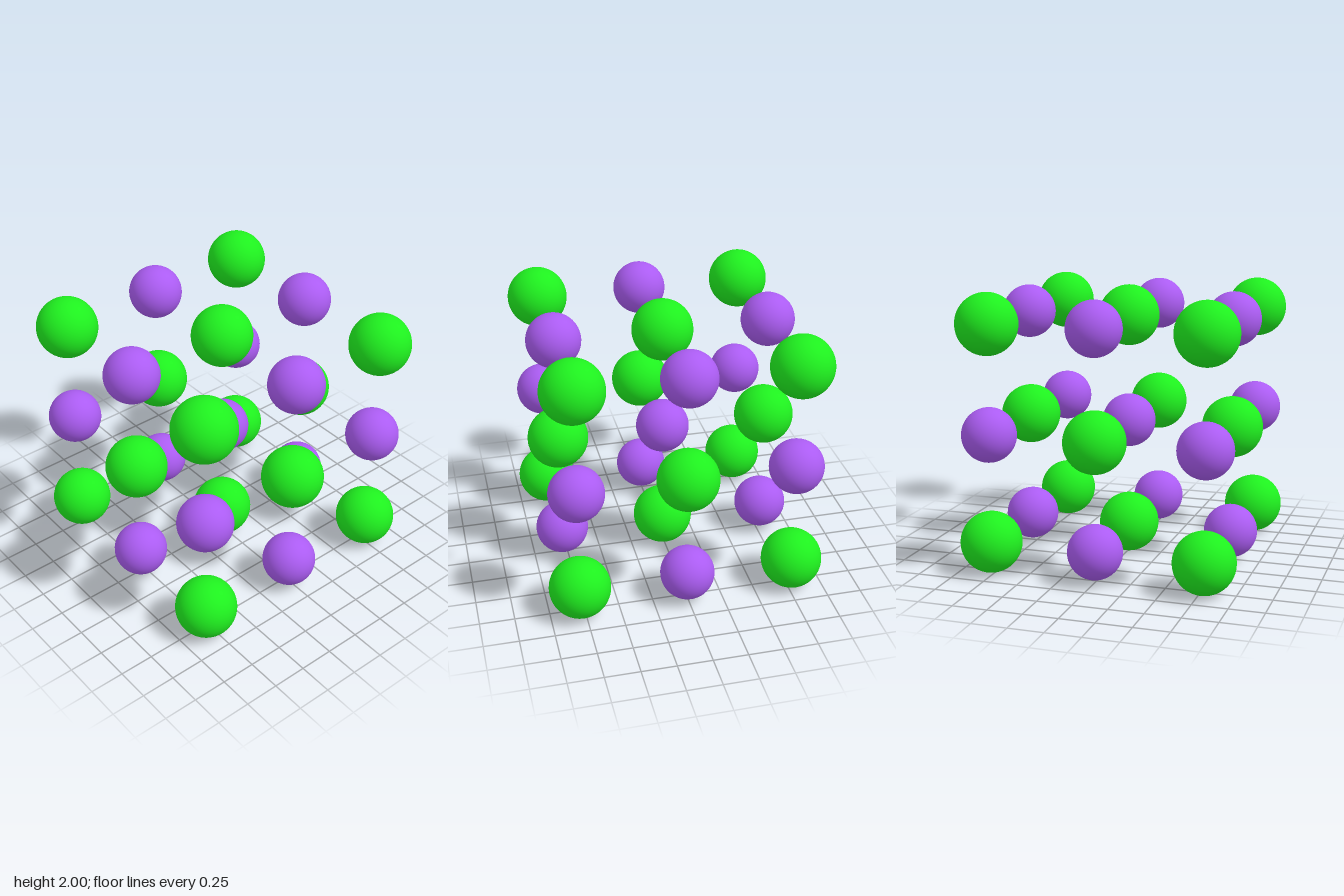
import * as THREE from 'three';

export function createModel() {
  const model = new THREE.Group();
  model.name = 'rockSaltLattice';
  const spacing = 0.78;

  // The two kinds of ion share one geometry and material each
  const large = {
    name: 'largeIon',
    geometry: new THREE.SphereGeometry(0.22, 48, 32),
    material: new THREE.MeshStandardMaterial({ color: 0x1ff01f }),
  };
  const small = {
    name: 'smallIon',
    geometry: new THREE.SphereGeometry(0.195, 48, 32),
    material: new THREE.MeshStandardMaterial({ color: 0xab5cf2 }),
  };

  // 3 x 3 x 3 cubic grid: large ions on corners and face centres,
  // small ions on edge midpoints and the body centre
  for (let i = -1; i <= 1; i++) {
    for (let j = -1; j <= 1; j++) {
      for (let k = -1; k <= 1; k++) {
        const ion = Math.abs(i + j + k) % 2 === 1 ? large : small;
        const mesh = new THREE.Mesh(ion.geometry, ion.material);
        mesh.name = ion.name;
        mesh.position.set(i * spacing, 1 + j * spacing, k * spacing);
        model.add(mesh);
      }
    }
  }
  return model;
}
